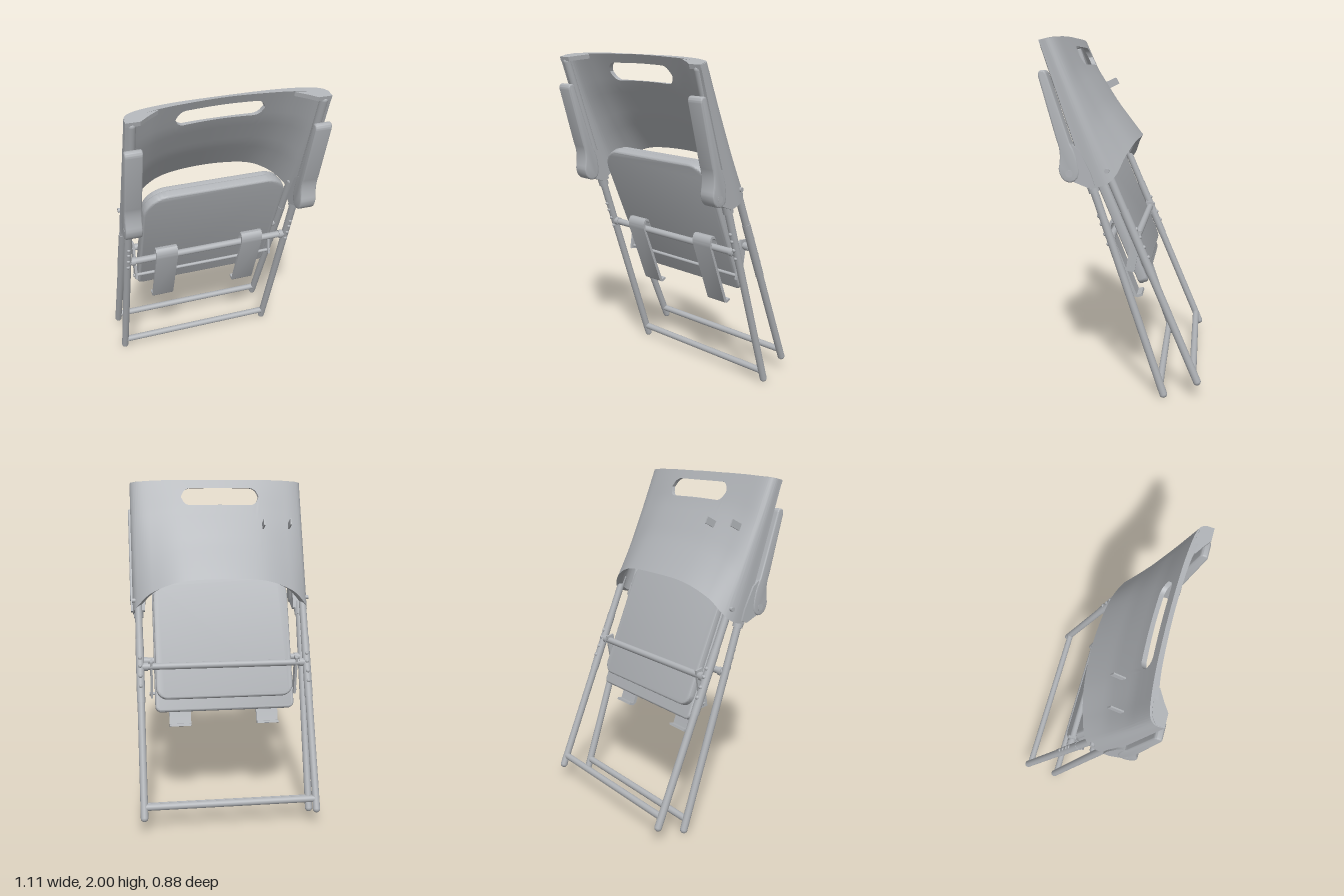
import * as THREE from 'three';
import { toCreasedNormals } from 'three/addons/utils/BufferGeometryUtils.js';

const grey = new THREE.MeshStandardMaterial({ color: 0xb0b3b7 });
grey.name = 'grey';

const V = (x, y, z) => new THREE.Vector3(x, y, z);
const polygon = points => new THREE.Shape(points.map(p => new THREE.Vector2(...p)));

export function createModel() {
  const model = new THREE.Group();
  model.name = 'foldedChair';

  const add = (name, geometry) => {
    const mesh = new THREE.Mesh(geometry, grey);
    mesh.name = name;
    model.add(mesh);
    return mesh;
  };
  // Lay a geometry that stands along y between two points
  const between = (mesh, a, b) => {
    mesh.position.copy(a).lerp(b, 0.5);
    mesh.quaternion.setFromUnitVectors(V(0, 1, 0), b.clone().sub(a).normalize());
    return mesh;
  };
  const rod = (name, a, b, r) => between(add(name, new THREE.CylinderGeometry(r, r, a.distanceTo(b), 20)), a, b);
  const roundRod = (name, a, b, r) => between(add(name, new THREE.CapsuleGeometry(r, a.distanceTo(b), 6, 20)), a, b);
  const plate = (name, a, b, w, d) => between(add(name, new THREE.BoxGeometry(w, a.distanceTo(b), d)), a, b);
  // Extrude a side outline, given as (z, y), to a width centred on x
  const sideExtrude = (name, shape, x, width, bevel = 0) => {
    const g = new THREE.ExtrudeGeometry(shape, {
      depth: width - 2 * bevel, bevelEnabled: bevel > 0, bevelSize: bevel, bevelThickness: bevel,
      bevelOffset: -bevel, bevelSegments: 3, curveSegments: 10,
    });
    g.translate(0, 0, -width / 2 + bevel).rotateY(-Math.PI / 2);
    add(name, toCreasedNormals(g, 0.6)).position.setX(x);
  };

  // Leg lines in the side plane
  const frontZ = y => -0.237 + 0.332 * y;
  const rearZ = y => -0.462 + 0.422 * y;

  // Cross bars
  const bar = (name, y, z, half, r) => rod(name, V(-half, y, z), V(half, y, z), r);
  bar('frontFootBar', 0.08, frontZ(0.08), 0.505, 0.02);
  bar('rearFootBar', 0.16, rearZ(0.16), 0.505, 0.02);
  bar('frontMiddleBar', 0.915, frontZ(0.915), 0.505, 0.02);
  bar('rearMiddleBar', 0.915, rearZ(0.915), 0.505, 0.02);
  bar('seatRod', 0.735, -0.035, 0.455, 0.01);

  for (const s of [-1, 1]) {
    const x = s * 0.506;
    // Legs; the front one runs up inside the edge of the backrest
    roundRod('frontLeg', V(x, 0.022, frontZ(0.022)), V(x, 1.945, frontZ(1.945)), 0.022);
    roundRod('rearLeg', V(x, 0.105, rearZ(0.105)), V(x, 1.3, rearZ(1.3)), 0.022);
    rod('legCollar', V(x, 1.17, frontZ(1.17)), V(x, 1.25, frontZ(1.25)), 0.03);
    rod('rearSleeve', V(x, 0.72, rearZ(0.72)), V(x, 1.07, rearZ(1.07)), 0.0245);
    // Rivets along the legs
    for (const y of [0.885, 0.94, 0.995, 1.04]) {
      const rivet = add('rivet', new THREE.SphereGeometry(0.012, 12, 8));
      rivet.position.set(x, y, frontZ(y) + 0.019);
      const rear = rivet.clone();
      rear.position.set(x, y - 0.07, rearZ(y - 0.07) - 0.022);
      model.add(rear);
    }
    // Bar collars and seat links
    for (const z of [frontZ(0.915), rearZ(0.915)])
      rod('barCollar', V(s * 0.46, 0.915, z), V(s * 0.485, 0.915, z), 0.025);
    plate('seatLink', V(s * 0.44, 0.715, -0.035), V(s * 0.44, 0.95, -0.075), 0.014, 0.05);

    // Armrest, folded upright, and the bracket it hinges on
    const arm = new THREE.Shape();
    arm.moveTo(0.345, 1.45);
    arm.lineTo(0.437, 1.785);
    arm.quadraticCurveTo(0.441, 1.815, 0.418, 1.818);
    arm.quadraticCurveTo(0.399, 1.82, 0.391, 1.795);
    arm.lineTo(0.275, 1.44);
    arm.quadraticCurveTo(0.235, 1.38, 0.228, 1.29);
    arm.quadraticCurveTo(0.225, 1.23, 0.28, 1.227);
    arm.quadraticCurveTo(0.33, 1.235, 0.337, 1.3);
    arm.quadraticCurveTo(0.318, 1.39, 0.345, 1.45);
    sideExtrude('armrest', arm, s * 0.508, 0.094, 0.008);
    rod('armPivot', V(s * 0.5, 1.275, 0.28), V(s * 0.556, 1.275, 0.28), 0.02);
    sideExtrude('armBracket', polygon([
      [0.265, 1.43], [0.225, 1.4], [0.165, 1.28], [0.145, 1.215], [0.18, 1.2], [0.28, 1.24],
    ]), s * 0.508, 0.086);
    rod('backPivot', V(s * 0.5, 1.29, 0.08), V(s * 0.543, 1.29, 0.08), 0.013);

    // Corner cap closing the top of the backrest over the leg
    const cap = polygon([
      [0.54, 0], [0.465, 0], [0.42, -0.032], [0.36, -0.068], [0.42, -0.085], [0.5, -0.072], [0.535, -0.045],
    ].map(([cx, cz]) => [s * cx, -cz]));
    const capGeo = new THREE.ExtrudeGeometry(cap, { depth: 0.025, bevelEnabled: false });
    capGeo.rotateX(-Math.PI / 2).translate(0, -0.025, 0);
    const capMesh = add('backrestCornerCap', capGeo);
    capMesh.position.set(0, 1.972, 0.432);
    capMesh.rotation.x = 0.25;

    // Hook strap hung over the front bar
    const strap = new THREE.Shape();
    strap.moveTo(0.03, 0.9);
    strap.lineTo(0.035, 0.955);
    strap.quadraticCurveTo(0.05, 0.985, 0.085, 0.98);
    strap.quadraticCurveTo(0.11, 0.96, 0.098, 0.915);
    strap.lineTo(-0.04, 0.545);
    strap.quadraticCurveTo(-0.05, 0.53, -0.07, 0.53);
    strap.lineTo(-0.095, 0.54);
    strap.lineTo(-0.09, 0.553);
    strap.lineTo(-0.062, 0.545);
    strap.lineTo(0.083, 0.92);
    strap.quadraticCurveTo(0.09, 0.95, 0.078, 0.965);
    strap.quadraticCurveTo(0.058, 0.968, 0.048, 0.95);
    strap.lineTo(0.043, 0.9);
    sideExtrude('hookStrap', strap, s * 0.27, 0.133);
  }

  // Seat panel and the tray behind it, both with rounded corners
  const tilt = Math.atan2(0.325, 0.78);
  const seatPanel = (name, w, y0, y1, r, R, z0, depth) => {
    const shape = new THREE.Shape();
    shape.absarc(w - r, y0 + r, r, -Math.PI / 2, 0);
    shape.absarc(w - R, y1 - R, R, 0, Math.PI / 2);
    shape.absarc(-w + R, y1 - R, R, Math.PI / 2, Math.PI);
    shape.absarc(-w + r, y0 + r, r, Math.PI, Math.PI * 1.5);
    const g = new THREE.ExtrudeGeometry(shape, {
      depth: depth - 0.024, bevelSize: 0.012, bevelThickness: 0.012, bevelOffset: -0.012, bevelSegments: 4, curveSegments: 14,
    });
    g.translate(0, 0, z0 + 0.012).rotateX(tilt);
    add(name, toCreasedNormals(g, 0.6)).position.set(0, 0.65, -0.107);
  };
  seatPanel('seat', 0.422, -0.012, 0.843, 0.035, 0.145, -0.027, 0.054);
  seatPanel('seatTray', 0.415, 0.06, 0.83, 0.07, 0.14, -0.064, 0.06);

  add('backrest', backrestGeometry());

  // Two thin tabs on the back of the backrest
  for (const [x, z] of [[-0.44, 0.18], [-0.27, 0.15]]) {
    const tab = add('backTab', new THREE.BoxGeometry(0.008, 0.04, 0.075));
    tab.position.set(x, 1.735, z);
    tab.rotation.x = 0.45;
  }
  return model;
}

// Curved shell between a top and a bottom edge, with a hand slot
function backrestGeometry() {
  // Half curves from the centre outwards, as [x, y, z]
  const mirrored = half => new THREE.CatmullRomCurve3(
    [...half.slice(1).reverse().map(([x, y, z]) => V(-x, y, z)), ...half.map(p => V(...p))], false, 'catmullrom', 0.5);
  const outer = [
    mirrored([[0, 2, 0.32], [0.25, 2, 0.325], [0.42, 1.995, 0.338], [0.505, 1.987, 0.355], [0.537, 1.98, 0.385], [0.54, 1.97, 0.43]]),
    mirrored([[0, 1.43, -0.06], [0.25, 1.415, -0.043], [0.42, 1.35, -0.005], [0.505, 1.27, 0.03], [0.537, 1.22, 0.08], [0.54, 1.19, 0.17]]),
  ];
  const inner = [
    mirrored([[0, 2, 0.343], [0.25, 1.995, 0.351], [0.39, 1.99, 0.368], [0.475, 1.98, 0.385], [0.505, 1.975, 0.41], [0.51, 1.97, 0.43]]),
    mirrored([[0, 1.43, -0.038], [0.25, 1.415, -0.02], [0.39, 1.36, 0.018], [0.475, 1.28, 0.058], [0.505, 1.23, 0.1], [0.51, 1.195, 0.17]]),
  ];
  // Line from top to bottom, set forwards down to a crease and flaring back below it
  const ruled = (top, bottom) => v => {
    const p = top.clone().lerp(bottom, v);
    p.z += 0.024 * Math.min(v / 0.3, 1, (1 - v) / 0.35) * Math.max(0, 1 - (p.x / 0.54) ** 6);
    return p;
  };
  const N = 300, pos = [];
  const quad = (a, b, c, d) => [a, b, c, a, c, d].forEach(p => pos.push(p.x, p.y, p.z));
  const columns = [];
  for (let i = 0; i <= N; i++) {
    const [ot, ob, it, ib] = [...outer, ...inner].map(c => c.getPoint(i / N));
    // Half height of the slot at this column
    const e = Math.max(0, (Math.abs(ot.x + 0.015) - 0.185) / 0.053);
    columns.push({
      slot: e < 1 ? 0.088 * Math.sqrt(1 - e * e) : 0,
      O: ruled(ot, ob),
      I: ruled(it, ib),
    });
  }
  // One strip above the slot and one below it
  const strips = [
    { rows: 3, v: (c, t) => t * (0.175 - c.slot) },
    { rows: 12, v: (c, t) => THREE.MathUtils.lerp(0.175 + c.slot, 1, t) },
  ];
  strips.forEach(({ rows, v }, k) => {
    for (let i = 0; i < N; i++) {
      const A = columns[i], B = columns[i + 1];
      const open = A.slot > 0 || B.slot > 0;
      for (let j = 0; j < rows; j++) {
        const [a0, a1, b0, b1] = [v(A, j / rows), v(A, (j + 1) / rows), v(B, j / rows), v(B, (j + 1) / rows)];
        quad(A.O(a0), B.O(b0), B.O(b1), A.O(a1));
        quad(B.I(b0), A.I(a0), A.I(a1), B.I(b1));
        if (j === 0 && (k === 0 || open)) quad(B.O(b0), A.O(a0), A.I(a0), B.I(b0));
        if (j === rows - 1 && (k === 1 || open)) quad(A.O(a1), B.O(b1), B.I(b1), A.I(a1));
        if (i === 0) quad(A.O(a0), A.O(a1), A.I(a1), A.I(a0));
        if (i === N - 1) quad(B.O(b1), B.O(b0), B.I(b0), B.I(b1));
      }
    }
  });
  const g = new THREE.BufferGeometry();
  g.setAttribute('position', new THREE.Float32BufferAttribute(pos, 3));
  return toCreasedNormals(g, 0.6);
}
